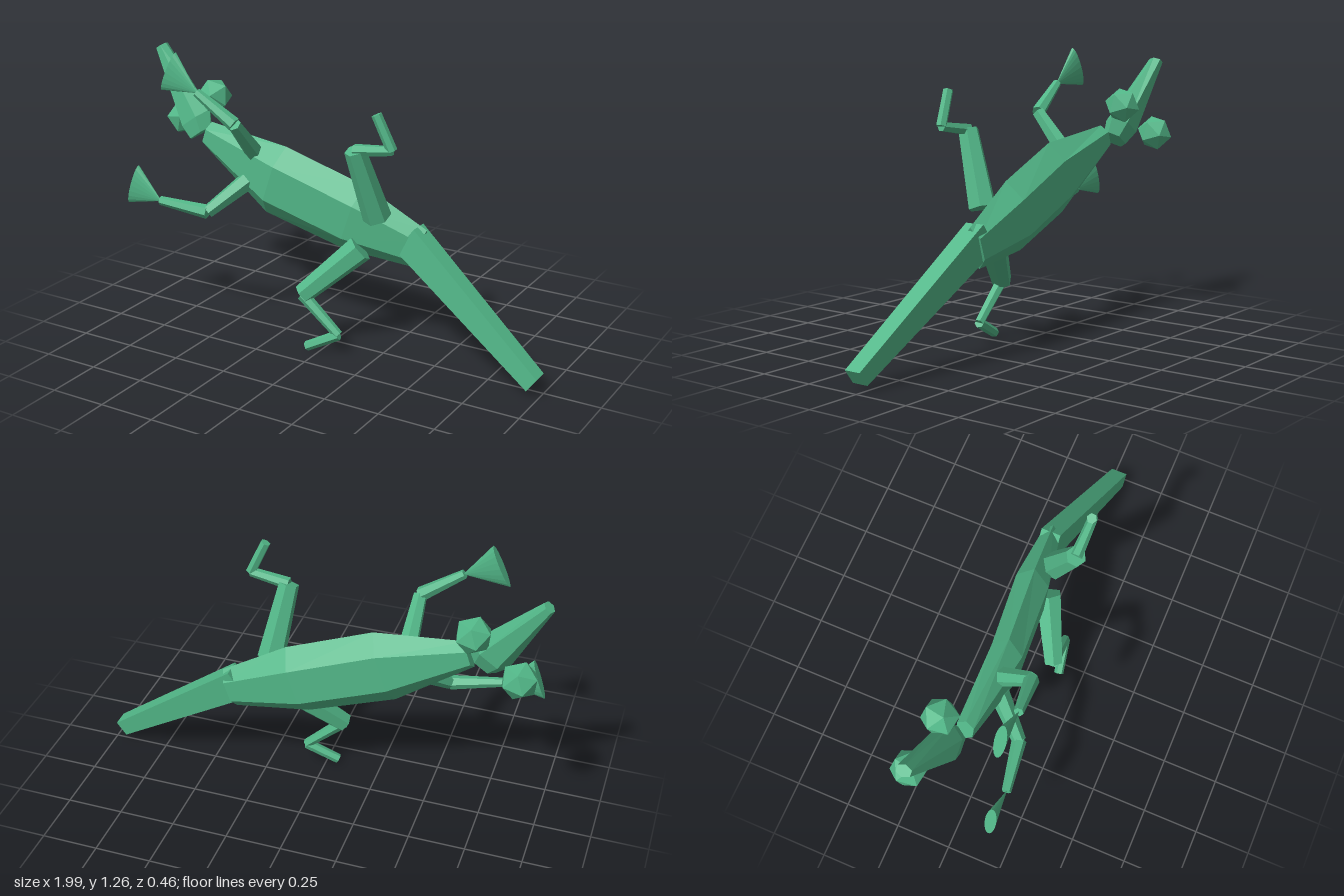
import * as THREE from 'three';

const skin = new THREE.MeshStandardMaterial({ color: 0x52b788 });
skin.name = 'lizardGreen';
skin.flatShading = true;

const V = (p) => new THREE.Vector3(...p);

// Closed solid through cross-sections [centre, half width along u, half depth along z]
function loft(sections, u, sides, turn = 0) {
  const pos = [], idx = [], last = sections.length - 1;
  for (const [c, w, d] of sections) {
    for (let j = 0; j < sides; j++) {
      const t = turn + (j / sides) * Math.PI * 2;
      const k = Math.cos(t) * w;
      pos.push(c[0] + u[0] * k, c[1] + u[1] * k, c[2] + Math.sin(t) * d);
    }
  }
  for (let i = 0; i < last; i++) {
    for (let j = 0; j < sides; j++) {
      const a = i * sides + j, b = i * sides + ((j + 1) % sides);
      idx.push(a, b, a + sides, b, b + sides, a + sides);
    }
  }
  for (let j = 1; j < sides - 1; j++) {
    const e = last * sides;
    idx.push(0, j + 1, j, e, e + j, e + j + 1);
  }
  const g = new THREE.BufferGeometry();
  g.setAttribute('position', new THREE.Float32BufferAttribute(pos, 3));
  g.setIndex(idx);
  const flat = g.toNonIndexed();
  flat.computeVertexNormals();
  return flat;
}

// Tapered cylinder between two points
function limb(a, b, ra, rb, sides = 6) {
  const from = V(a), dir = V(b).sub(from);
  const g = new THREE.CylinderGeometry(rb, ra, dir.length(), sides);
  g.translate(0, dir.length() / 2, 0);
  g.applyQuaternion(new THREE.Quaternion().setFromUnitVectors(new THREE.Vector3(0, 1, 0), dir.normalize()));
  return g.translate(from.x, from.y, from.z);
}

// Flattened cone fanning out from the wrist to the fingertips
function fan(wrist, tip, halfWidth, halfDepth) {
  const from = V(wrist), dir = V(tip).sub(from), len = dir.length();
  const y = dir.normalize();
  const x = new THREE.Vector3().crossVectors(y, new THREE.Vector3(0, 0, 1)).normalize();
  const z = new THREE.Vector3().crossVectors(x, y);
  const g = new THREE.CylinderGeometry(1, 0.04, len, 20);
  g.translate(0, len / 2, 0).scale(halfWidth, 1, halfDepth);
  g.applyMatrix4(new THREE.Matrix4().makeBasis(x, y, z));
  return g.translate(from.x, from.y, from.z);
}

export function createModel() {
  const model = new THREE.Group();
  model.name = 'lizard';
  const add = (name, geometry, parent = model) => {
    const mesh = new THREE.Mesh(geometry, skin);
    mesh.name = name;
    parent.add(mesh);
    return mesh;
  };

  // Trunk: neck, chest, hips, rump
  add('body', loft([
    [[-0.668, 0.857, -0.025], 0.062, 0.042],
    [[-0.302, 0.706, -0.012], 0.169, 0.08],
    [[0.072, 0.584, -0.055], 0.163, 0.087],
    [[0.375, 0.49, -0.085], 0.095, 0.047],
  ], [0.32, 0.947], 6));

  // Square tapering tail
  const q = Math.SQRT2;
  add('tail', loft([
    [[0.326, 0.535, -0.08], 0.07 * q, 0.045 * q],
    [[0.97, 0.06, 0.026], 0.037 * q, 0.038 * q],
  ], [0.592, 0.806], 4, Math.PI / 4));

  // Head: snout tip, brow, back of skull
  add('head', loft([
    [[-0.98, 1.205, -0.118], 0.027, 0.034],
    [[-0.762, 0.905, -0.065], 0.092, 0.068],
    [[-0.728, 0.845, -0.05], 0.068, 0.05],
  ], [0.82, 0.57], 6));

  // Bulging eyes
  for (const [name, p] of [['rightEye', [-0.9, 0.87, -0.163]], ['leftEye', [-0.692, 1.01, -0.113]]]) {
    const eye = add(name, new THREE.IcosahedronGeometry(0.082, 0));
    eye.position.set(...p);
    eye.rotation.set(0.3, 0.2, -0.35);
  }

  // Arms: shoulder, elbow, wrist, fingertips
  const arms = {
    upperArmSide: [[-0.397, 0.81, 0.0], [-0.403, 0.985, 0.155], [-0.58, 1.107, 0.175], [-0.732, 1.178, 0.165]],
    lowerArmSide: [[-0.43, 0.69, 0.02], [-0.553, 0.563, 0.16], [-0.78, 0.588, 0.2], [-0.93, 0.639, 0.195]],
  };
  for (const [name, [shoulder, elbow, wrist, tip]] of Object.entries(arms)) {
    const arm = new THREE.Group();
    arm.name = name;
    model.add(arm);
    add('upperArm', limb(shoulder, elbow, 0.043, 0.03), arm);
    add('forearm', limb(elbow, wrist, 0.032, 0.02), arm);
    add('hand', fan(wrist, tip, 0.098, 0.025), arm);
  }

  // Legs: hip, knee, ankle, toe
  const legs = {
    upperLegSide: [[0.212, 0.63, 0.0], [0.165, 0.95, 0.112], [0.34, 0.975, 0.115], [0.275, 1.122, 0.13]],
    lowerLegSide: [[0.135, 0.475, 0.005], [-0.085, 0.258, 0.125], [0.09, 0.1, 0.115], [-0.055, 0.025, 0.143]],
  };
  for (const [name, [hip, knee, ankle, toe]] of Object.entries(legs)) {
    const leg = new THREE.Group();
    leg.name = name;
    model.add(leg);
    add('thigh', limb(hip, knee, 0.062, 0.045), leg);
    add('shin', limb(knee, ankle, 0.027, 0.021), leg);
    add('foot', limb(ankle, toe, 0.023, 0.022), leg);
  }

  return model;
}
